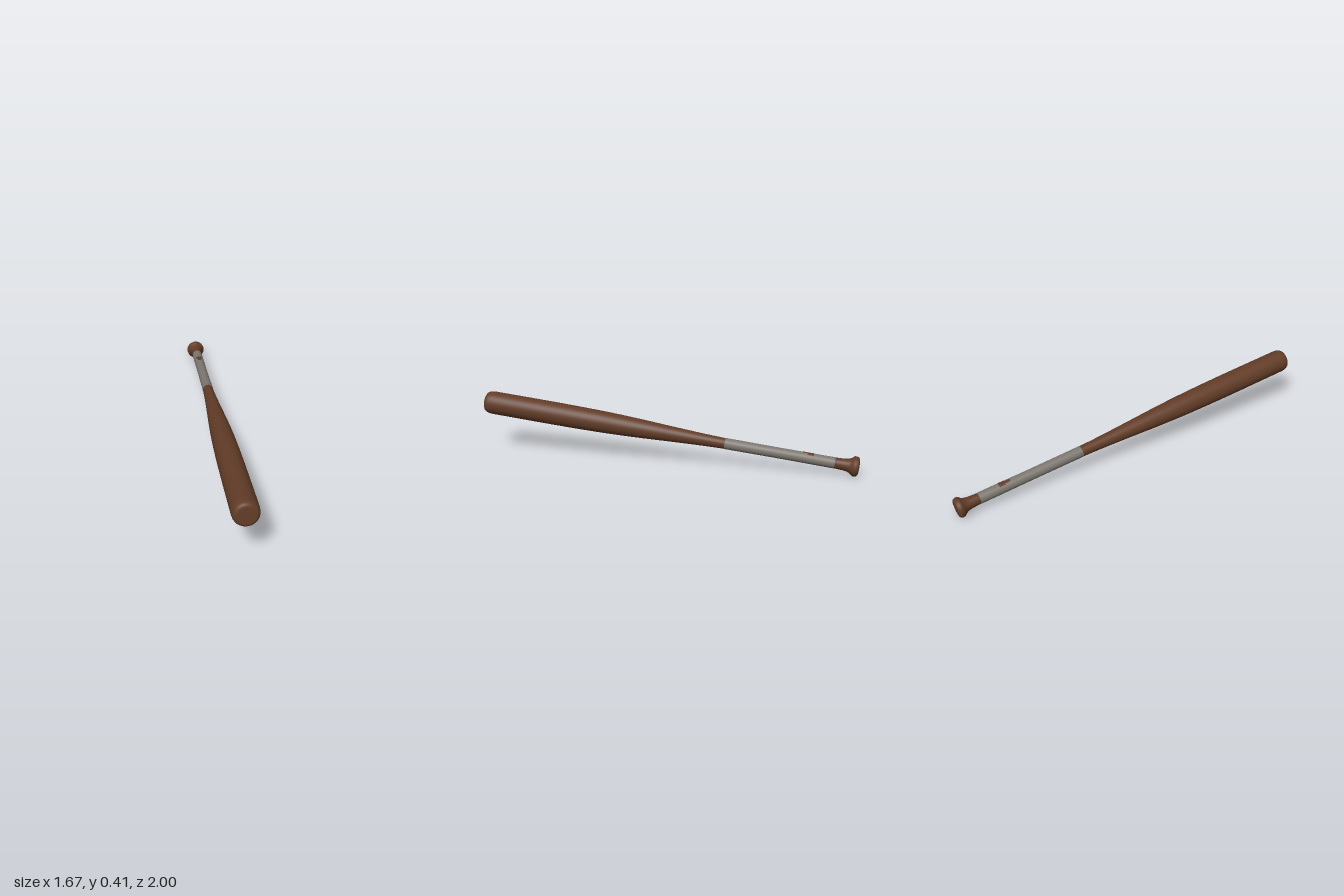
import * as THREE from 'three';

const SEGMENTS = 48;

function material(name, color, side = THREE.FrontSide) {
  const m = new THREE.MeshStandardMaterial({ color, side });
  m.name = name;
  return m;
}

// Turned part: pairs of [distance along the bat, radius]
function turned(name, profile, mat) {
  const points = profile.map(([t, r]) => new THREE.Vector2(r, t));
  const mesh = new THREE.Mesh(new THREE.LatheGeometry(points, SEGMENTS), mat);
  mesh.name = name;
  return mesh;
}

export function createModel() {
  const wood = material('brown wood', 0x623c27, THREE.DoubleSide);
  const tape = material('grey grip tape', 0x7d7770);

  const bat = new THREE.Group();
  bat.name = 'bat';

  // Rounded knob flaring into the handle
  bat.add(turned('knob', [
    [0, 0], [0, 0.045], [0.002, 0.054], [0.009, 0.061], [0.02, 0.065],
    [0.032, 0.064], [0.041, 0.058], [0.05, 0.05], [0.066, 0.042],
    [0.09, 0.038], [0.12, 0.036], [0.16, 0.034],
  ], wood));

  // Tape sleeve, closed down to the wood at both ends
  bat.add(turned('grip', [
    [0.15, 0.03], [0.15, 0.0355], [0.152, 0.036], [0.5, 0.035],
    [0.853, 0.0365], [0.855, 0.036], [0.855, 0.03],
  ], tape));

  // Barrel: smooth taper from the handle, then a rounded end
  const taper = new THREE.SplineCurve([
    [0.85, 0.035], [1.0, 0.040], [1.2, 0.050], [1.4, 0.061],
    [1.58, 0.069], [1.75, 0.0735], [2.0, 0.0765], [2.25, 0.077], [2.455, 0.077],
  ].map(([t, r]) => new THREE.Vector2(t, r))).getPoints(32).map((p) => [p.x, p.y]);
  bat.add(turned('barrel', [
    ...taper, [2.475, 0.0755], [2.49, 0.072], [2.5, 0.066],
    [2.505, 0.058], [2.506, 0.05], [2.506, 0],
  ], wood));

  // Tilt the bat so the barrel points forward, left and slightly up
  const axis = new THREE.Vector3(1.575, 0.275, 1.925).normalize();
  bat.quaternion.setFromUnitVectors(new THREE.Vector3(0, 1, 0), axis);

  // Worn spot of bare wood on the upper side of the grip
  const up = new THREE.Vector3(0, 1, 0).applyQuaternion(bat.quaternion.clone().invert());
  const angle = Math.atan2(up.x, up.z);
  for (const [t, length, arc, turn] of [[0.305, 0.04, 1.3, 0], [0.34, 0.04, 0.6, 0.1]]) {
    const spot = new THREE.Mesh(
      new THREE.CylinderGeometry(0.0365, 0.0365, length, 10, 1, true, angle + turn - arc / 2, arc), wood);
    spot.position.y = t;
    spot.name = 'wornSpot';
    bat.add(spot);
  }

  // Rest on the ground, centred
  const model = new THREE.Group();
  model.name = 'baseballBat';
  model.add(bat);
  model.updateMatrixWorld(true);
  const box = new THREE.Box3().setFromObject(model, true);
  const center = box.getCenter(new THREE.Vector3());
  bat.position.set(-center.x, -box.min.y, -center.z);
  return model;
}
